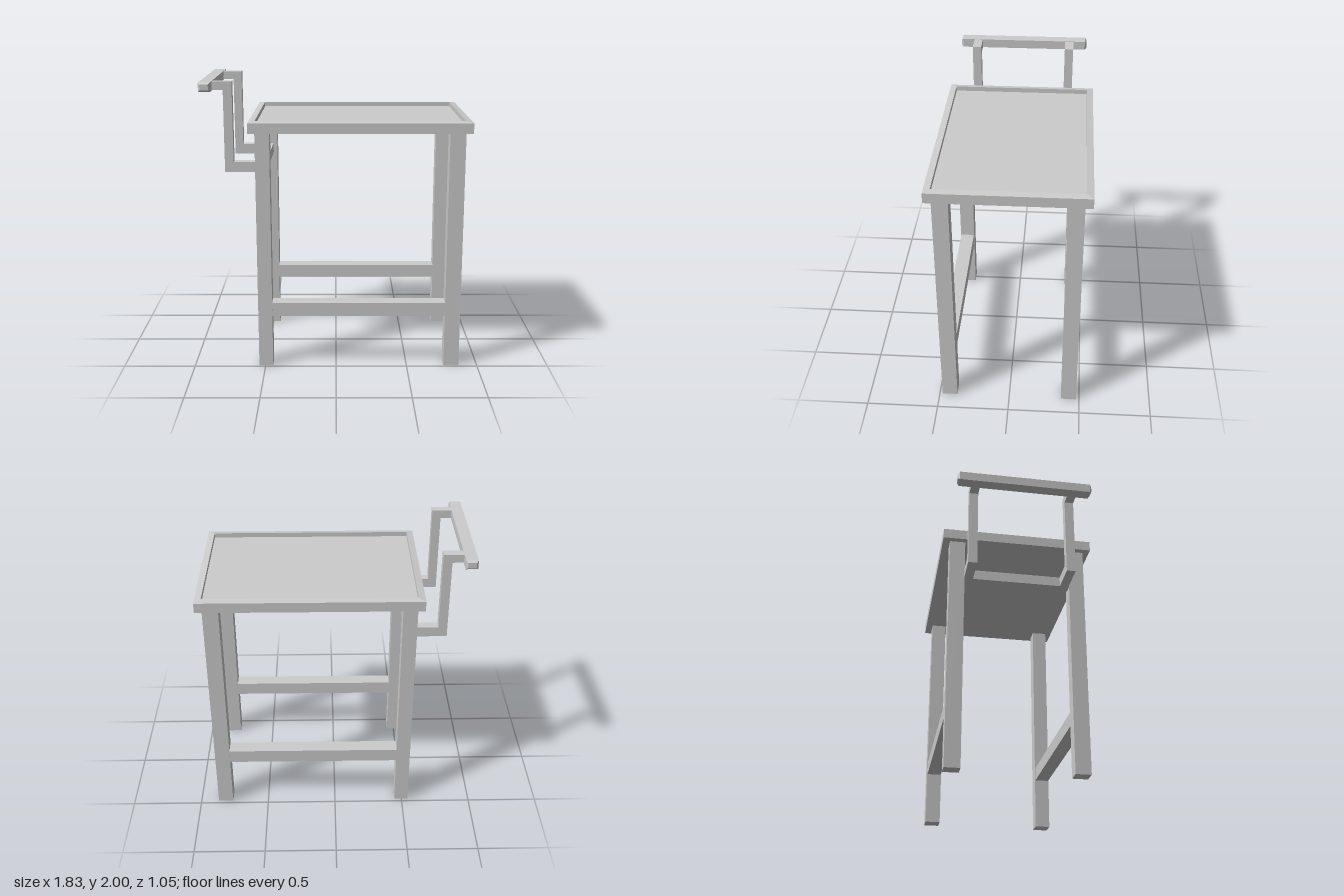
import * as THREE from 'three';

export function createModel() {
  const model = new THREE.Group();
  const material = new THREE.MeshStandardMaterial({ color: 0xcccccc, flatShading: true });

  const add = (name, geometry) => {
    const mesh = new THREE.Mesh(geometry, material);
    mesh.name = name;
    model.add(mesh);
    return mesh;
  };
  // Box given by its limits on each axis
  const box = (name, [x0, x1], [y0, y1], [z0, z1]) =>
    add(name, new THREE.BoxGeometry(x1 - x0, y1 - y0, z1 - z0)
      .translate((x0 + x1) / 2, (y0 + y1) / 2, (z0 + z1) / 2));

  // Tray top: sunken panel inside a rim that rises slightly inwards
  const X = [-0.587, 0.912], Z = [-0.528, 0.525], rim = 0.045;
  const cx = (X[0] + X[1]) / 2, cz = (Z[0] + Z[1]) / 2;
  const section = [[0, 1.67], [0, 1.74], [rim, 1.748], [rim, 1.715]];
  const positions = [], index = [];
  for (const [inset, y] of section) {
    const hx = (X[1] - X[0]) / 2 - inset, hz = (Z[1] - Z[0]) / 2 - inset;
    for (const [sx, sz] of [[-1, 1], [1, 1], [1, -1], [-1, -1]]) {
      positions.push(cx + sx * hx, y, cz + sz * hz);
    }
  }
  for (let r = 0; r < section.length - 1; r++) {
    for (let i = 0; i < 4; i++) {
      const a = r * 4 + i, b = r * 4 + (i + 1) % 4;
      index.push(a, b, b + 4, a, b + 4, a + 4);
    }
  }
  const last = (section.length - 1) * 4;
  index.push(last, last + 1, last + 2, last, last + 2, last + 3); // sunken panel
  index.push(0, 2, 1, 0, 3, 2); // underside
  const top = new THREE.BufferGeometry();
  top.setAttribute('position', new THREE.Float32BufferAttribute(positions, 3));
  top.setIndex(index);
  const tray = top.toNonIndexed();
  tray.computeVertexNormals();
  add('trayTop', tray);

  // Legs and the long stretchers joining them
  for (const [side, z, y] of [['front', [0.373, 0.48], [0.37, 0.468]], ['back', [-0.478, -0.37], [0.375, 0.473]]]) {
    box(side + 'RightLeg', [-0.545, -0.447], [0, 1.67], z);
    box(side + 'LeftLeg', [0.763, 0.87], [0, 1.67], z);
    box(side + 'Stretcher', [-0.447, 0.763], y, [z[0] + 0.003, z[1] - 0.003]);
  }

  // Rail between the legs that carries the handle
  box('handleRail', [-0.543, -0.475], [1.38, 1.45], [-0.372, 0.375]);

  // Stepped handle arms: out, up, and out again
  const outline = [[-0.543, 1.38], [-0.543, 1.45], [-0.7, 1.45], [-0.7, 1.997],
    [-0.91, 1.997], [-0.91, 1.94], [-0.76, 1.94], [-0.76, 1.38]];
  const armShape = new THREE.Shape(outline.map(([x, y]) => new THREE.Vector2(x, y)));
  for (const [side, z] of [['front', 0.307], ['back', -0.373]]) {
    add(side + 'HandleArm', new THREE.ExtrudeGeometry(armShape, { depth: 0.062, bevelEnabled: false }).translate(0, 0, z));
  }

  // Grip bar with chamfered ends
  const b = 0.012, gripShape = new THREE.Shape();
  gripShape.moveTo(-0.04 + b, -0.031 + b).lineTo(0.04 - b, -0.031 + b)
    .lineTo(0.04 - b, 0.031 - b).lineTo(-0.04 + b, 0.031 - b).closePath();
  const grip = new THREE.ExtrudeGeometry(gripShape, {
    depth: 0.938 - 2 * b, bevelEnabled: true, bevelSize: b, bevelThickness: b, bevelSegments: 1,
  });
  add('handleGrip', grip.translate(-0.873, 1.969, -0.471 + b));

  return model;
}
